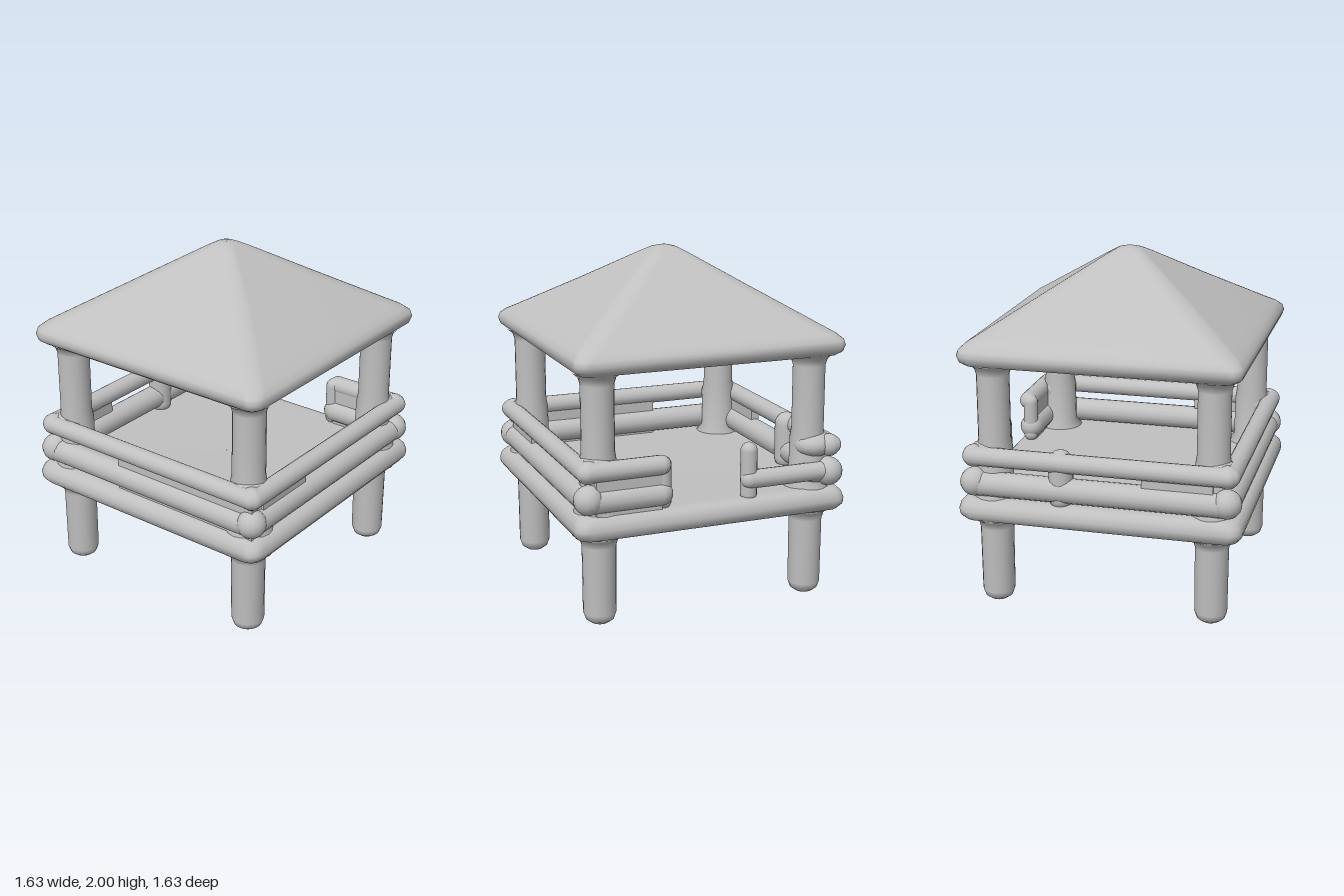
import * as THREE from 'three';

const grey = new THREE.MeshStandardMaterial({ color: 0xc0c0c0 });
grey.name = 'plain grey';

// Skin through rounded-square rings; each row is [halfSize, y, cornerRadius]
function squareLoft(rows, steps = 6) {
  const pos = [], idx = [], n = 4 * (steps + 1);
  for (const [h, y, r] of rows) {
    for (let c = 0; c < 4; c++) {
      for (let s = 0; s <= steps; s++) {
        const mid = (c + 0.5) * Math.PI / 2;
        const a = (c + s / steps) * Math.PI / 2;
        const k = (h - r) * Math.SQRT2;
        pos.push(Math.cos(mid) * k + Math.cos(a) * r, y, Math.sin(mid) * k + Math.sin(a) * r);
      }
    }
  }
  for (let i = 0; i < rows.length - 1; i++) {
    for (let j = 0; j < n; j++) {
      const a = i * n + j, b = i * n + (j + 1) % n;
      idx.push(a, a + n, b, b, a + n, b + n);
    }
  }
  const g = new THREE.BufferGeometry();
  g.setAttribute('position', new THREE.Float32BufferAttribute(pos, 3));
  g.setIndex(idx);
  g.computeVertexNormals();
  return g;
}

function add(parent, name, geometry, x = 0, y = 0, z = 0) {
  const mesh = new THREE.Mesh(geometry, grey);
  mesh.name = name;
  mesh.position.set(x, y, z);
  parent.add(mesh);
  return mesh;
}

// Round-ended bar between two points
function bar(parent, name, from, to, r) {
  const a = new THREE.Vector3(...from), b = new THREE.Vector3(...to);
  const d = b.clone().sub(a), len = d.length();
  const mesh = add(parent, name, new THREE.CapsuleGeometry(r, len, 6, 16));
  mesh.position.copy(a).add(b).multiplyScalar(0.5);
  mesh.quaternion.setFromUnitVectors(new THREE.Vector3(0, 1, 0), d.divideScalar(len));
  return mesh;
}

export function createModel() {
  const model = new THREE.Group();
  model.name = 'pavilion';

  // Hollow hipped roof: ceiling, lip, rounded eave, slopes, peak
  add(model, 'roof', squareLoft([
    [0.002, 1.84, 0.001], [0.3, 1.66, 0.04], [0.53, 1.51, 0.05], [0.54, 1.46, 0.05],
    [0.56, 1.435, 0.05], [0.58, 1.43, 0.05], [0.72, 1.43, 0.05], [0.76, 1.438, 0.06],
    [0.79, 1.46, 0.07], [0.803, 1.495, 0.08], [0.795, 1.525, 0.08], [0.765, 1.555, 0.09],
    [0.71, 1.59, 0.1], [0.4, 1.785, 0.1], [0.12, 1.96, 0.06], [0.07, 1.988, 0.05],
    [0.03, 1.999, 0.025], [0.001, 2, 0.0005],
  ]));

  // Rounded floor slab
  add(model, 'floor', squareLoft([
    [0.001, 0.522, 0.0005], [0.7, 0.522, 0.05], [0.75, 0.524, 0.06], [0.79, 0.54, 0.08],
    [0.812, 0.57, 0.08], [0.815, 0.6, 0.08], [0.805, 0.635, 0.08], [0.78, 0.66, 0.07],
    [0.74, 0.668, 0.06], [0.68, 0.664, 0.05], [0.001, 0.66, 0.0005],
  ]));

  // Corner posts, with flares where they meet the floor, rails and roof
  const postProfile = [
    [0, 0.005], [0.05, 0.008], [0.08, 0.03], [0.094, 0.07], [0.096, 0.46], [0.11, 0.505], [0.15, 0.53],
    [0.15, 0.65], [0.105, 0.7], [0.102, 0.94], [0.093, 1.0], [0.093, 1.37], [0.105, 1.41], [0.14, 1.44],
  ].map(([r, y]) => new THREE.Vector2(r, y));
  const postGeometry = new THREE.LatheGeometry(postProfile, 20);
  for (const sx of [-1, 1]) for (const sz of [-1, 1]) {
    add(model, 'post', postGeometry, sx * 0.63, 0, sz * 0.635);
    // Swollen joints where the rails meet around each post
    for (const [y, r] of [[0.91, 0.065], [0.755, 0.083]]) {
      add(model, 'railJoint', new THREE.SphereGeometry(r, 16, 12), sx * 0.725, y, sz * 0.725);
      add(model, 'railCollar', new THREE.SphereGeometry(0.12, 16, 12), sx * 0.655, y, sz * 0.655)
        .scale.y = 0.65;
    }
  }

  // Full rails on the front, back and left-hand closed side
  const e = 0.73;
  for (const [y, r, off] of [[0.912, 0.055, 0.74], [0.745, 0.072, 0.722]]) {
    bar(model, 'frontRail', [-e, y, off], [e, y, off], r);
    bar(model, 'backRail', [-e, y, -off], [e, y, -off], r);
    bar(model, 'sideRail', [-off, y, -e], [-off, y, e], r);
    // Short rails on the entrance side, ahead of the opening
    bar(model, 'entranceRail', [off, y, 0.31], [off, y, e], r);
  }
  // Webs filling the gaps between rails
  add(model, 'sideWeb', new THREE.BoxGeometry(0.05, 0.25, 0.95), -0.725, 0.785, 0.27);
  add(model, 'entranceWeb', new THREE.BoxGeometry(0.07, 0.25, 0.38), 0.725, 0.785, 0.5);
  for (const s of [-1, 1]) {
    add(model, 'cornerWeb', new THREE.BoxGeometry(0.4, 0.15, 0.05), -0.45, 0.82, s * 0.725);
  }

  // Entrance end posts, low rail behind the opening, and a back rail stub
  bar(model, 'entrancePost', [0.72, 0.7, 0.29], [0.72, 0.91, 0.29], 0.045);
  bar(model, 'entrancePost', [0.72, 0.68, -0.225], [0.72, 0.93, -0.225], 0.048);
  bar(model, 'entranceLowRail', [0.735, 0.765, -0.225], [0.735, 0.765, -e], 0.053);
  bar(model, 'backStub', [0.22, 0.7, -0.71], [0.22, 0.91, -0.71], 0.07);

  return model;
}
